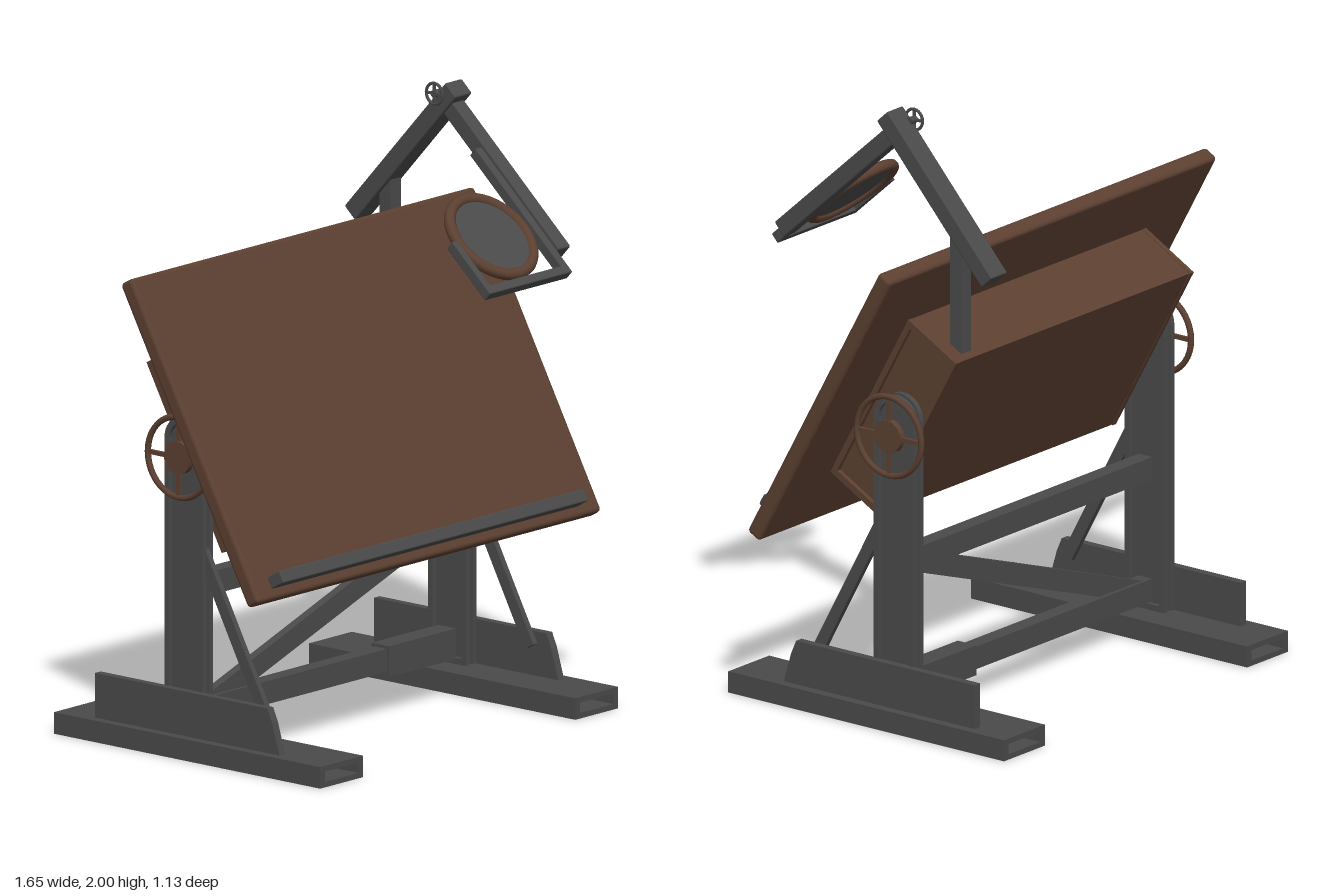
import * as THREE from 'three';
import { RoundedBoxGeometry } from 'three/addons/geometries/RoundedBoxGeometry.js';

export function createModel() {
  const wood = new THREE.MeshStandardMaterial({ color: 0x5c4031 });
  wood.name = 'brown wood';
  const metal = new THREE.MeshStandardMaterial({ color: 0x4a4a4a });
  metal.name = 'dark grey metal';

  const model = new THREE.Group();
  model.name = 'draftingTable';

  const add = (parent, name, geo, mat, x = 0, y = 0, z = 0) => {
    const m = new THREE.Mesh(geo, mat);
    m.name = name;
    m.position.set(x, y, z);
    parent.add(m);
    return m;
  };
  const group = (name, parent, x = 0, y = 0, z = 0) => {
    const g = new THREE.Group();
    g.name = name;
    g.position.set(x, y, z);
    parent.add(g);
    return g;
  };
  // box given by its limits on each axis
  const block = (parent, name, mat, [x0, x1], [y0, y1], [z0, z1], r = 0) => {
    const size = [x1 - x0, y1 - y0, z1 - z0];
    const geo = r ? new RoundedBoxGeometry(...size, 2, r) : new THREE.BoxGeometry(...size);
    return add(parent, name, geo, mat, (x0 + x1) / 2, (y0 + y1) / 2, (z0 + z1) / 2);
  };
  const poly = pts => new THREE.Shape(pts.map(p => new THREE.Vector2(...p)));
  const rect = (x0, x1, y0, y1) => poly([[x0, y0], [x1, y0], [x1, y1], [x0, y1]]);
  const extrude = (shape, depth) => {
    const g = new THREE.ExtrudeGeometry(shape, { depth, bevelEnabled: false, curveSegments: 12 });
    return g.translate(0, 0, -depth / 2);
  };
  // profile drawn in (z, y), thickened along x
  const sidePlate = (shape, depth) => extrude(shape, depth).rotateY(-Math.PI / 2);
  // bar between two (z, y) points
  const bar = (parent, name, mat, x, w, h, [z0, y0], [z1, y1], r = 0) => {
    const len = Math.hypot(z1 - z0, y1 - y0);
    const geo = r ? new RoundedBoxGeometry(w, h, len, 2, r) : new THREE.BoxGeometry(w, h, len);
    const m = add(parent, name, geo, mat, x, (y0 + y1) / 2, (z0 + z1) / 2);
    m.rotation.x = -Math.atan2(y1 - y0, z1 - z0);
    return m;
  };
  // column outline with a rounded top
  const columnShape = (z0, z1, y0, yTop) => {
    const r = (z1 - z0) / 2, s = new THREE.Shape();
    s.moveTo(z0, y0);
    s.lineTo(z1, y0);
    s.lineTo(z1, yTop - r);
    s.absarc((z0 + z1) / 2, yTop - r, r, 0, Math.PI, false);
    s.lineTo(z0, y0);
    return s;
  };

  // legs, one at each side
  for (const s of [1, -1]) {
    const leg = group(s > 0 ? 'leftLeg' : 'rightLeg', model);

    const footShape = rect(-0.103, 0.103, 0, 0.07);
    footShape.holes.push(rect(-0.08, 0.08, 0.018, 0.052));
    add(leg, 'foot', extrude(footShape, 1.12), metal, s * 0.613, 0, -0.005);

    const gusset = poly([[-0.42, 0.07], [0.355, 0.07], [0.325, 0.17], [0.305, 0.215], [-0.42, 0.215]]);
    add(leg, 'footPlate', sidePlate(gusset, 0.028), metal, s * 0.67);

    // column web with a raised rim on both faces
    add(leg, 'columnWeb', sidePlate(columnShape(-0.14, 0, 0.07, 1.09), 0.022), metal, s * 0.634);
    const rim = columnShape(-0.15, 0.01, 0.07, 1.1);
    rim.holes.push(columnShape(-0.13, -0.01, 0.09, 1.08));
    for (const x of [0.616, 0.65]) add(leg, 'columnRim', sidePlate(rim, 0.018), metal, s * x);

    bar(leg, 'brace', metal, s * 0.635, 0.02, 0.04, [0.26, 0.17], [-0.01, 0.67]);

    // pivot and handwheel
    const wheel = group('handwheel', leg, s * 0.68, 0.972, -0.07);
    add(wheel, 'rim', new THREE.TorusGeometry(0.131, 0.01, 8, 40).rotateY(Math.PI / 2), wood);
    add(wheel, 'hub', new THREE.CylinderGeometry(0.054, 0.054, 0.022, 28).rotateZ(Math.PI / 2), wood);
    add(wheel, 'spoke', new THREE.BoxGeometry(0.012, 0.26, 0.014), wood);
    add(wheel, 'spoke', new THREE.BoxGeometry(0.012, 0.014, 0.26), wood);
    add(leg, 'pivot', new THREE.CylinderGeometry(0.03, 0.03, 0.11, 20).rotateZ(Math.PI / 2),
      metal, s * 0.62, 0.972, -0.07);
  }

  // rails between the legs
  const rails = group('rails', model);
  block(rails, 'upperRail', metal, [-0.61, 0.61], [0.505, 0.58], [-0.1, -0.045]);
  block(rails, 'lowerRail', metal, [-0.61, 0.31], [0.1, 0.175], [-0.1, -0.045]);
  block(rails, 'railSleeve', metal, [0.29, 0.61], [0.085, 0.185], [-0.11, -0.035]);
  const diagonal = poly([[-0.58, 0.172], [-0.37, 0.172], [0.605, 0.508], [0.39, 0.508]]);
  add(rails, 'diagonalBrace', extrude(diagonal, 0.03), metal, 0, 0, -0.072);

  // tilted board with its case and ledge
  const top = group('tiltingTop', model, 0, 1.07, 0.1);
  top.rotation.x = -0.506;
  block(top, 'board', wood, [-0.826, 0.826], [-0.555, 0.555], [-0.028, 0.028], 0.014);
  block(top, 'ledge', metal, [-0.745, 0.72], [-0.522, -0.48], [0.026, 0.086], 0.005);
  block(top, 'caseBody', wood, [-0.585, 0.585], [-0.324, 0.324], [-0.248, -0.026]);
  const endFrame = rect(-0.25, -0.026, -0.326, 0.326);
  endFrame.holes.push(rect(-0.228, -0.048, -0.304, 0.304));
  for (const s of [1, -1]) add(top, 'caseEndFrame', sidePlate(endFrame, 0.018), wood, s * 0.591);

  // folding arm
  const arm = group('foldingArm', model);
  block(arm, 'post', metal, [0.49, 0.54], [1.2, 1.68], [-0.25, -0.205]);
  bar(arm, 'rearArm', metal, 0.515, 0.08, 0.06, [-0.365, 1.509], [0.061, 1.978], 0.006);
  const knob = group('hingeKnob', arm, 0.467, 1.958, 0);
  add(knob, 'rim', new THREE.TorusGeometry(0.034, 0.005, 8, 24).rotateY(Math.PI / 2), metal);
  add(knob, 'spoke', new THREE.BoxGeometry(0.008, 0.068, 0.008), metal);
  add(knob, 'spoke', new THREE.BoxGeometry(0.008, 0.008, 0.068), metal);
  add(knob, 'shaft', new THREE.CylinderGeometry(0.012, 0.012, 0.03, 12).rotateZ(Math.PI / 2), metal, 0.01);

  // forearm carrying the magnifier, drawn flat and then tilted
  const fore = group('magnifierArm', arm, 0, 1.59, 0.4);
  fore.rotation.x = 0.733;
  block(fore, 'forearm', metal, [0.485, 0.541], [-0.029, 0.029], [-0.51, 0.122], 0.006);
  block(fore, 'slide', metal, [0.456, 0.486], [-0.018, 0.018], [-0.31, 0.205], 0.004);
  block(fore, 'holderBar', metal, [0.09, 0.486], [-0.018, 0.018], [0.175, 0.206], 0.004);
  block(fore, 'holderProng', metal, [0.09, 0.116], [-0.018, 0.018], [-0.01, 0.206], 0.004);
  add(fore, 'lensRing', new THREE.TorusGeometry(0.152, 0.019, 10, 48).rotateX(Math.PI / 2), wood, 0.283);
  add(fore, 'lens', new THREE.CylinderGeometry(0.142, 0.142, 0.012, 48), metal, 0.283);

  return model;
}
